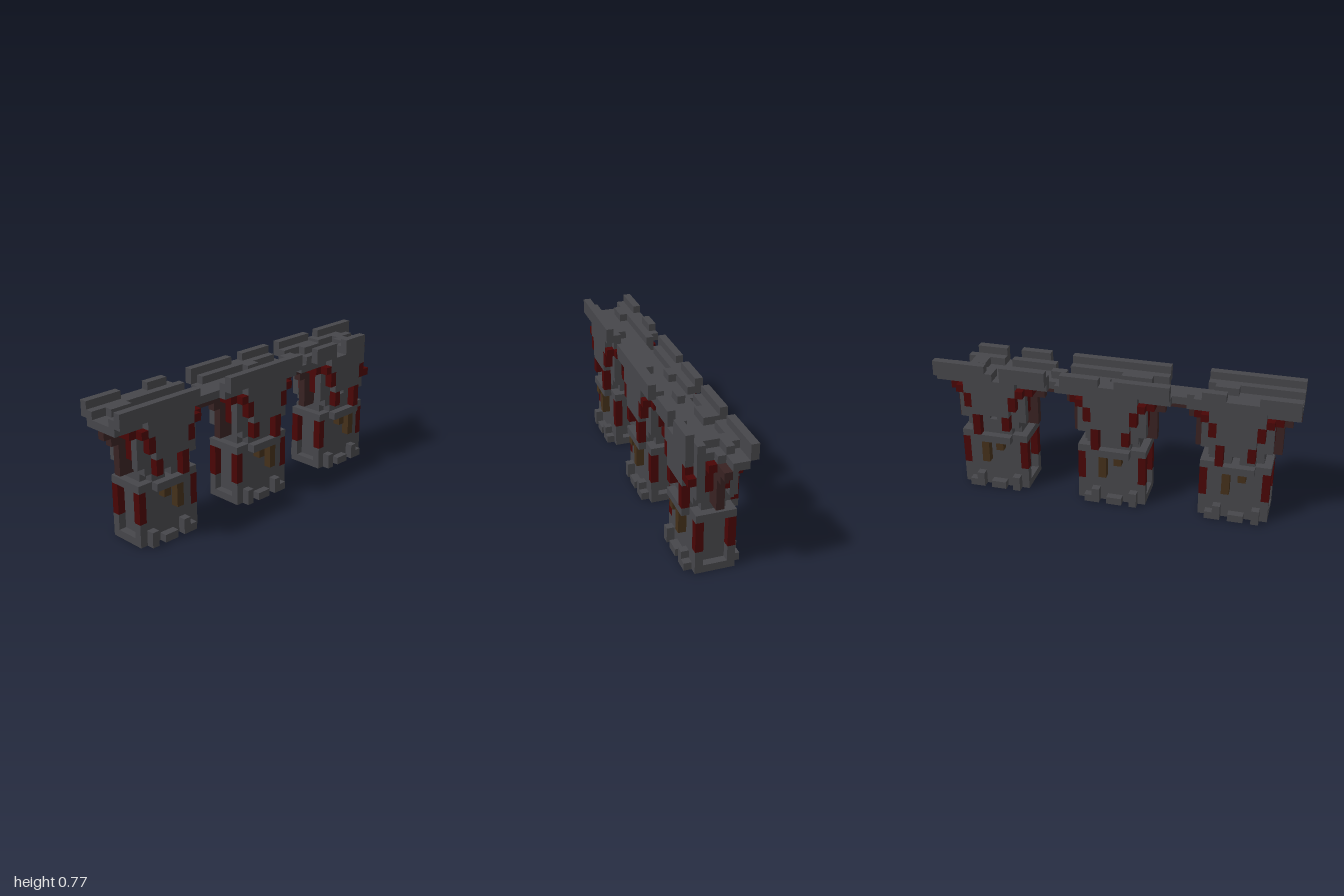
import * as THREE from 'three';
import { mergeGeometries } from 'three/addons/utils/BufferGeometryUtils.js';

// Block grid: 47 long (x), 18 high (y), 7 deep (z)
const NX = 47, NY = 18, NZ = 7, U = 2 / NX;

export function createModel() {
  const mat = (name, color) => new THREE.MeshStandardMaterial({ name, color });
  const stone = mat('stone', 0x46464a);
  const red = mat('darkRed', 0x490505);
  const brown = mat('archBrown', 0x382222);
  const bronze = mat('bronze', 0x44301a);

  const cells = new Map();
  const key = (x, y, z) => (y * NZ + z) * NX + x;
  // Fill (or with part = null, carve) blocks x0..x1, y0..y1, z0..z1, ends excluded
  const fill = (part, material, x0, x1, y0, y1, z0, z1) => {
    for (let y = y0; y < y1; y++) for (let z = z0; z < z1; z++) {
      for (let x = Math.max(0, x0); x < Math.min(NX, x1); x++) {
        if (part) cells.set(key(x, y, z), { part, material });
        else cells.delete(key(x, y, z));
      }
    }
  };
  const carve = (...r) => fill(null, null, ...r);
  // Same blocks on the front and back faces
  const both = (part, material, x0, x1, y0, y1, z0, z1) => {
    fill(part, material, x0, x1, y0, y1, z0, z1);
    fill(part, material, x0, x1, y0, y1, NZ - z1, NZ - z0);
  };

  // Bridge deck with stepped kerbs and uneven paving
  fill('deck', stone, 0, 47, 15, 16, 1, 6);
  for (const [a, b] of [[0, 14], [17, 30], [32, 44]]) both('kerb', stone, a, b, 16, 17, 5, 6);
  for (const [x, w, z] of [[2, 3, 2], [8, 3, 4], [19, 4, 4], [24, 2, 2], [30, 2, 3], [35, 3, 2],
    [41, 2, 4], [42, 3, 2], [41, 2, 3]]) {
    fill('pavingStone', stone, x, x + w, 16, 17, z, z + 1);
  }

  // Arch crown between the piers
  fill('archCrown', brown, 10, 37, 14, 15, 3, 4);

  [3, 19, 35].forEach((o, n) => {
    const pier = 'pier' + (n + 1);
    // Lower pier with a recess in each end
    fill(pier, stone, o, o + 9, 0, 1, 1, 6);
    fill(pier, stone, o + 1, o + 8, 1, 8, 1, 6);
    fill(pier, stone, o, o + 9, 7, 8, 1, 6);
    for (const x of [o, o + 8]) {
      both(pier + 'Post', stone, x, x + 1, 1, 8, 5, 6);
      both(pier + 'PostBand', red, x, x + 1, 3, 7, 5, 6);
    }
    // Foot stones, ledge and hanging bronze plaques
    for (const [a, w, h] of [[1, 1, 2], [3, 2, 1], [6, 1, 2], [7, 1, 1]]) {
      both(pier + 'FootStone', stone, o + a, o + a + w, 0, h, 6, 7);
    }
    both(pier + 'Ledge', stone, o + 2, o + 7, 7, 8, 6, 7);
    both(pier + 'Plaque', bronze, o + 3, o + 4, 6, 7, 6, 7);
    both(pier + 'Plaque', bronze, o + 5, o + 6, 4, 7, 6, 7);

    // Upper pier flaring towards the deck
    const upper = pier + 'Head';
    fill(upper, stone, o + 1, o + 8, 8, 15, 2, 5);
    both(upper, stone, o + 2, o + 7, 8, 9, 5, 6);
    both(upper, stone, o + 1, o + 8, 9, 15, 5, 6);
    both(upper, stone, o, o + 9, 10, 15, 5, 6);
    both(upper, stone, o + 2, o + 7, 11, 14, 6, 7);
    both(upper, stone, o + 1, o + 8, 14, 16, 6, 7);

    // Mirrored brackets and arch ribs on both sides of the pier
    for (const s of [0, 1]) {
      const side = (fn, name, m, a, w, ...r) => {
        const x = s ? o + 9 - a - w : o + a;
        fn(name, m, x, x + w, ...r);
      };
      side(fill, 'archRib', brown, -1, 2, 9, 15, 3, 4);
      side(fill, 'archRib', brown, -2, 1, 13, 15, 3, 4);
      side(fill, 'archRib', brown, -3, 1, 14, 15, 3, 4);
      side(both, pier + 'InnerBracket', red, 0, 1, 11, 15, 4, 5);
      side(both, pier + 'InnerBracket', red, -1, 1, 14, 15, 4, 6);
      side(both, pier + 'Bracket', red, 2, 1, s ? 8 : 9, 11, 6, 7);
      side(both, pier + 'Bracket', red, 1, 1, 12, 14, 6, 7);
      side(both, pier + 'Bracket', red, 0, 1, 14, 15, 6, 7);
    }
  });
  // Extra stones on the last pier
  fill('strayBracket', red, 42, 44, 12, 13, 6, 7);
  fill('recessStone', stone, 43, 44, 2, 7, 4, 5);

  // Front and back parapets: [start, end, top]
  const front = [[0, 12, 18], [17, 30, 18], [33, 37, 18], [39, 43, 18]];
  const back = [[0, 5, 18], [5, 9, 17], [9, 12, 18], [12, 13, 17], [16, 23, 18], [23, 25, 17],
    [25, 30, 18], [32, 38, 18], [39, 40, 17], [40, 47, 18]];
  for (const [a, b, top] of front) fill('frontParapet', stone, a, b, 16, top, 6, 7);
  for (const [a, b, top] of back) fill('backParapet', stone, a, b, 16, top, 0, 1);

  // Broken edges and holes
  carve(12, 17, 15, 18, 5, 7);
  carve(14, 16, 15, 18, 0, 2);
  carve(31, 32, 15, 18, 0, 2);
  carve(30, 31, 15, 18, 5, 7);
  carve(38, 39, 16, 18, 0, 7);
  carve(43, 47, 14, 18, 6, 7);
  carve(44, 47, 14, 18, 5, 6);
  carve(44, 47, 15, 18, 4, 5);
  carve(45, 47, 15, 18, 3, 4);
  carve(7, 8, 8, 9, 0, 7);
  carve(39, 40, 10, 11, 0, 7);

  // Join runs of equal blocks along x into boxes, one mesh per part
  const parts = new Map();
  for (let y = 0; y < NY; y++) for (let z = 0; z < NZ; z++) {
    for (let x = 0; x < NX;) {
      const c = cells.get(key(x, y, z));
      let e = x + 1;
      if (c) {
        while (e < NX && cells.get(key(e, y, z))?.part === c.part) e++;
        const g = new THREE.BoxGeometry((e - x) * U, U, U);
        g.translate((x + e) / 2 * U - 1, (y + 0.5) * U, (z + 0.5 - NZ / 2) * U);
        if (!parts.has(c.part)) parts.set(c.part, { material: c.material, list: [] });
        parts.get(c.part).list.push(g);
      }
      x = e;
    }
  }
  const group = new THREE.Group();
  group.name = 'ruinedBridge';
  for (const [name, { material, list }] of parts) {
    const mesh = new THREE.Mesh(mergeGeometries(list), material);
    mesh.name = name;
    group.add(mesh);
  }
  return group;
}
